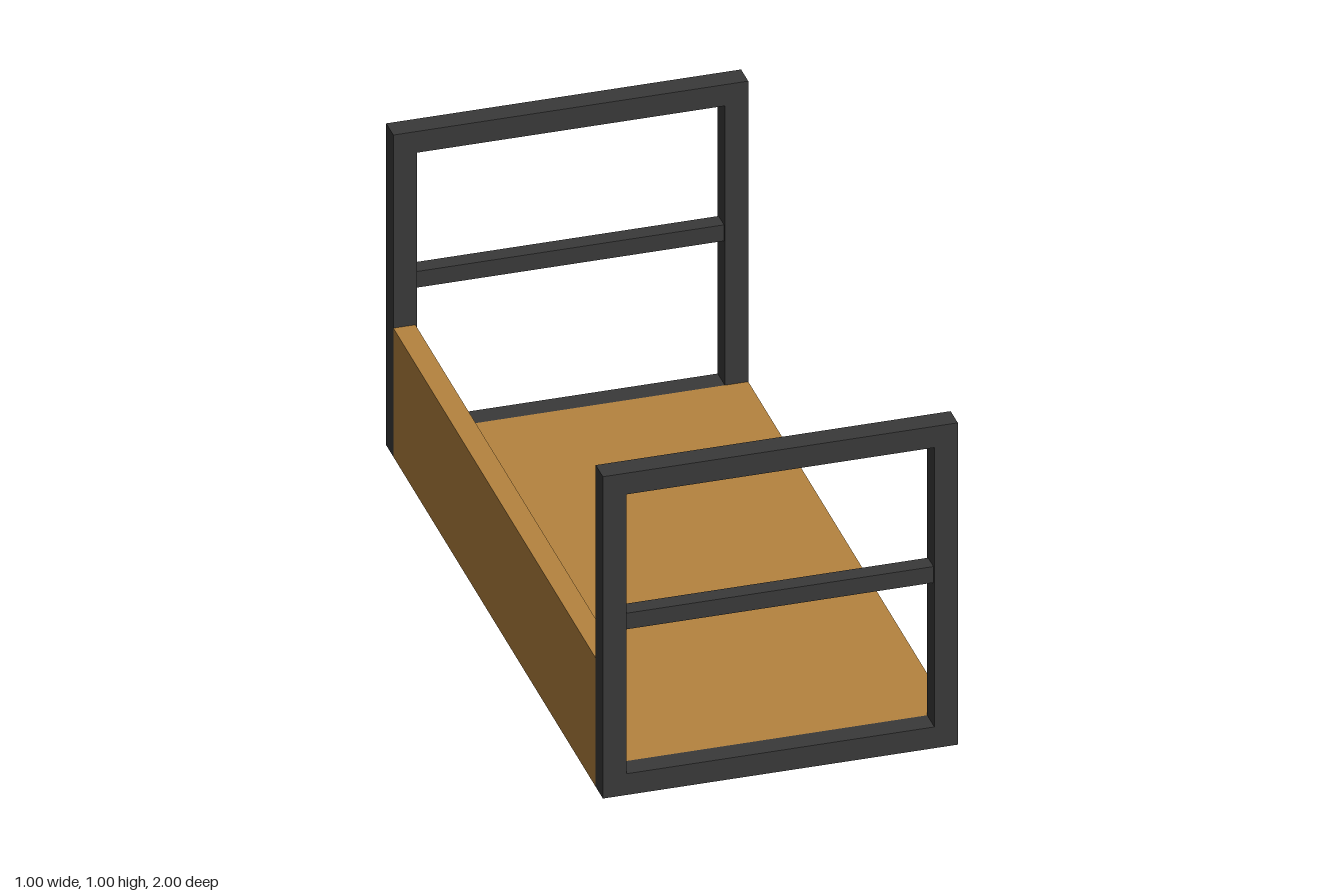
import * as THREE from 'three';

const T = 0.066; // frame tube and base board thickness
const PANEL = 0.062; // side panel thickness

const metal = new THREE.MeshStandardMaterial({ color: 0x3a3a3a });
const wood = new THREE.MeshStandardMaterial({ color: 0xb5833f });

// Box given by its minimum and maximum corners
function box(name, material, min, max) {
  const size = max.map((v, i) => v - min[i]);
  const mesh = new THREE.Mesh(new THREE.BoxGeometry(...size), material);
  mesh.position.set(...max.map((v, i) => (v + min[i]) / 2));
  mesh.name = name;
  return mesh;
}

// Square end frame with a thinner middle bar, centred on z = 0
function endFrame(name, z) {
  const group = new THREE.Group();
  group.name = name;

  const outline = new THREE.Shape([[-0.5, 0], [0.5, 0], [0.5, 1], [-0.5, 1]].map(p => new THREE.Vector2(...p)));
  const i = 0.5 - T;
  outline.holes.push(new THREE.Path([[-i, T], [-i, 1 - T], [i, 1 - T], [i, T]].map(p => new THREE.Vector2(...p))));
  const geometry = new THREE.ExtrudeGeometry(outline, { depth: T, bevelEnabled: false });
  geometry.translate(0, 0, -T / 2);
  const surround = new THREE.Mesh(geometry, metal);
  surround.name = 'frameSurround';

  const bar = box('middleBar', metal, [-i, 0.51, -0.025], [i, 0.56, 0.025]);
  group.add(surround, bar);
  group.position.z = z;
  return group;
}

export function createModel() {
  const model = new THREE.Group();
  model.name = 'benchFrame';

  // End frames
  model.add(endFrame('frontFrame', 1 - T / 2), endFrame('backFrame', -1 + T / 2));

  // Boards spanning between the frames
  const z = 1 - T;
  model.add(
    box('baseBoard', wood, [-0.5 + PANEL, 0, -z], [0.5, T, z]),
    box('sidePanel', wood, [-0.5, 0, -z], [-0.5 + PANEL, 0.4, z])
  );
  return model;
}
